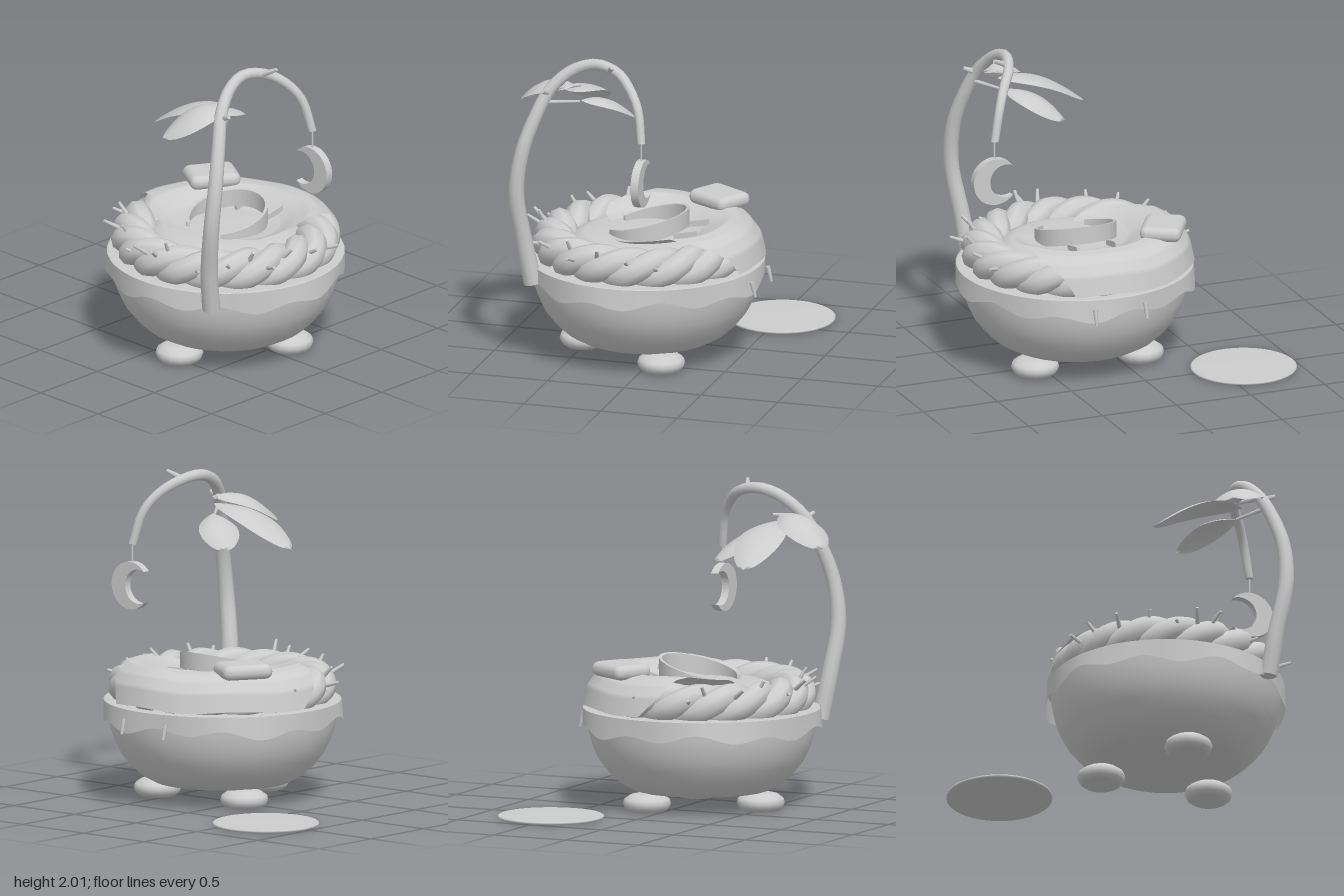
import * as THREE from 'three';
import { RoundedBoxGeometry } from 'three/addons/geometries/RoundedBoxGeometry.js';
import { ParametricGeometry } from 'three/addons/geometries/ParametricGeometry.js';

const V = (x, y, z) => new THREE.Vector3(x, y, z);
const CX = 0.227, CZ = 0.093; // centre of the bowl

export function createModel() {
  const model = new THREE.Group();
  const clay = new THREE.MeshStandardMaterial({ color: 0xcccccc, side: THREE.DoubleSide });
  clay.name = 'pale grey';

  const add = (name, geometry, x = 0, y = 0, z = 0) => {
    const mesh = new THREE.Mesh(geometry, clay);
    mesh.name = name;
    mesh.position.set(x, y, z);
    model.add(mesh);
    return mesh;
  };
  const lathe = (pts, n) => new THREE.LatheGeometry(pts.map(p => new THREE.Vector2(p[0], p[1])), n);
  // Thorn: a tapered twig from a point along a direction
  const thorn = (name, at, dir, length, radius) => {
    const d = dir.clone().normalize();
    const mesh = add(name, new THREE.CylinderGeometry(radius * 0.6, radius, length, 6));
    mesh.quaternion.setFromUnitVectors(V(0, 1, 0), d);
    mesh.position.copy(at).addScaledVector(d, length / 2);
  };

  // Bowl with a flat shelf inside its rim
  const bowlProfile = [[0, 0.11], [0.43, 0.112], [0.51, 0.155], [0.575, 0.215], [0.635, 0.29], [0.67, 0.36],
    [0.695, 0.43], [0.712, 0.51], [0.722, 0.6]];
  add('bowl', lathe(bowlProfile, 36), CX, 0, CZ);
  add('rim', lathe([[0.742, 0.622], [0.728, 0.63], [0, 0.63]], 36), CX, 0, CZ);

  // Collar with a wavy hem hanging from the rim
  add('wavyCollar', new ParametricGeometry((u, v, p) => {
    const a = u * Math.PI * 2;
    const hem = 0.508 + 0.022 * Math.sin(a * 10 + 0.6) + 0.012 * Math.sin(a * 4);
    const r = 0.742 + v * (0.004 + 0.008 * Math.sin(a * 5));
    p.set(r * Math.sin(a), 0.625 + (hem - 0.625) * v, r * Math.cos(a));
  }, 108, 4), CX, 0, CZ);

  // Three squashed feet with flat soles
  const footProfile = [[0, 0], [0.11, 0], [0.138, 0.02], [0.15, 0.05], [0.142, 0.078], [0.105, 0.104], [0.06, 0.114], [0, 0.116]];
  for (let i = 0; i < 3; i++) {
    const a = i * Math.PI * 2 / 3;
    add('foot', lathe(footProfile, 16), CX + 0.41 * Math.sin(a), 0, CZ + 0.41 * Math.cos(a));
  }

  // Twisted wreath of three strands
  class Strand extends THREE.Curve {
    constructor(phase) { super(); this.phase = phase; }
    getPoint(t, target = V(0, 0, 0)) {
      const a = t * Math.PI * 2, twist = 6 * a + this.phase;
      const r = 0.572 + 0.066 * Math.cos(twist);
      return target.set(r * Math.sin(a), 0.715 + 0.055 * Math.sin(twist), r * Math.cos(a));
    }
  }
  for (let k = 0; k < 3; k++) {
    add('wreathStrand', new THREE.TubeGeometry(new Strand(k * Math.PI * 2 / 3), 150, 0.08, 9, true), CX, 0, CZ);
  }

  // Twigs sticking out of the wreath: angle from the front, tilt upward, sideways lean, length (degrees)
  const twigs = [[-100, 20, 0, 0.08], [-71, 15, 5, 0.12], [-62, 45, -20, 0.1], [-46, 30, 15, 0.13], [-30, 55, 20, 0.09],
    [-12, 20, -30, 0.08], [-2, 35, -20, 0.14], [4, 35, 20, 0.14], [10, 60, 10, 0.12], [28, 15, 30, 0.09],
    [47, 30, -15, 0.13], [58, 55, 20, 0.09], [66, 20, 10, 0.13], [78, 45, 30, 0.1], [97, 30, -10, 0.09], [111, 15, 15, 0.1]];
  for (const [angle, tilt, lean, length] of twigs) {
    const [a, t, l] = [angle, tilt, angle + lean].map(THREE.MathUtils.degToRad);
    const along = b => V(Math.sin(b) * Math.cos(t), Math.sin(t), Math.cos(b) * Math.cos(t));
    const at = V(CX + 0.572 * Math.sin(a), 0.715, CZ + 0.572 * Math.cos(a)).addScaledVector(along(a), 0.09);
    thorn('wreathThorn', at, along(l), length, 0.016);
  }
  // Two twigs hanging over the back rim
  for (const x of [0.06, 0.4]) thorn('rimThorn', V(x, 0.57, -0.645), V(0, -1, -0.25), 0.1, 0.016);

  // Cushion in the middle
  add('cushion', lathe([[0.5, 0.7], [0.46, 0.755], [0.38, 0.785], [0.25, 0.79], [0, 0.79]], 32), CX, 0, CZ);

  // Blanket over the back of the wreath; rows are [radius, height, left angle, right angle] from the back
  const rows = [[0.745, 0.65, -84, 22], [0.722, 0.755, -93, 27], [0.67, 0.825, -97, 36], [0.6, 0.868, -101, 47],
    [0.52, 0.88, -107, 57], [0.44, 0.85, -138, 82], [0.36, 0.81, -152, 104], [0.27, 0.795, -160, 120]];
  const blanket = new ParametricGeometry((u, v, p) => {
    const s = v * (rows.length - 1), i = Math.min(Math.floor(s), rows.length - 2), f = s - i;
    const [r, y, left, right] = rows[i].map((n, k) => n + (rows[i + 1][k] - n) * f);
    const a = THREE.MathUtils.degToRad(left + (right - left) * u);
    p.set(r * Math.sin(a), y + 0.008 * Math.sin(a * 7 + 1) * (1 - v), -r * Math.cos(a));
  }, 48, 21);
  add('blanket', blanket, CX, 0, CZ);

  // Open, tilted band standing in the middle
  const band = new THREE.Shape();
  const gap = 0.62, start = -Math.PI / 2 + gap, end = Math.PI * 1.5 - gap;
  band.absarc(0, 0, 0.255, start, end, false);
  band.absarc(0, 0, 0.235, end, start, true);
  const bandGeo = new THREE.ExtrudeGeometry(band, { depth: 0.11, bevelEnabled: false, curveSegments: 30 });
  bandGeo.rotateX(-Math.PI / 2);
  const bp = bandGeo.attributes.position;
  for (let i = 0; i < bp.count; i++) bp.setY(i, bp.getY(i) - 0.27 * bp.getZ(i));
  bandGeo.computeVertexNormals();
  add('band', bandGeo, CX, 0.765, 0.08);
  // Low folds of cloth behind the band
  for (const s of [-1, 1]) {
    add('bandFold', new THREE.BoxGeometry(0.02, 0.05, 0.15), CX + s * 0.13, 0.815, -0.2).rotation.x = 0.2;
  }

  // Pillow resting on the blanket
  add('pillow', new RoundedBoxGeometry(0.26, 0.095, 0.325, 2, 0.045), -0.228, 0.893, -0.242)
    .rotation.y = THREE.MathUtils.degToRad(-31);

  // Tapered stalk arching over the bowl
  const path = new THREE.CatmullRomCurve3([V(0.69, 0.53, 0.69), V(0.72, 0.8, 0.738), V(0.775, 1.13, 0.772),
    V(0.775, 1.4, 0.735), V(0.73, 1.62, 0.665), V(0.67, 1.8, 0.58), V(0.62, 1.92, 0.45), V(0.605, 1.965, 0.31),
    V(0.65, 1.935, 0.15), V(0.73, 1.85, 0.04), V(0.785, 1.74, -0.025), V(0.832, 1.55, -0.06)]);
  const N = 44, S = 10;
  const stalk = new THREE.TubeGeometry(path, N, 1, S, false);
  const sp = stalk.attributes.position, q = V(0, 0, 0);
  for (let i = 0; i <= N; i++) {
    const c = path.getPointAt(i / N), r = 0.058 - 0.032 * i / N;
    for (let j = 0; j <= S; j++) {
      const k = i * (S + 1) + j;
      q.fromBufferAttribute(sp, k).sub(c).multiplyScalar(r).add(c);
      sp.setXYZ(k, q.x, q.y, q.z);
    }
  }
  add('stalk', stalk);
  add('stalkFoot', new THREE.SphereGeometry(0.056, 10, 6), 0.69, 0.533, 0.69).scale.y = 0.2;
  add('stalkTip', new THREE.SphereGeometry(0.026, 10, 6), 0.832, 1.552, -0.06).scale.y = 0.3;
  thorn('stalkThorn', V(0.65, 1.95, 0.2), V(0.8, 0.4, -0.35), 0.11, 0.02);
  thorn('stalkThorn', V(0.69, 1.78, 0.59), V(0.9, 0.35, 0.2), 0.08, 0.022);
  thorn('leafStem', V(0.66, 1.8, 0.56), V(-0.1, 0.01, -0.15), 0.17, 0.017);
  thorn('leafStem', V(0.7, 1.72, 0.6), V(-0.14, -0.02, -0.2), 0.22, 0.014);

  // Three broad arched leaves with rounded tips
  const leaf = (base, tip, lift, half, droop) => add('leaf', new ParametricGeometry((u, v, p) => {
    const side = tip.clone().sub(base).cross(V(0, 1, 0)).normalize();
    const w = half * Math.pow(Math.sin(Math.PI * Math.pow(u, 1.1)), 0.65), t = v * 2 - 1;
    p.lerpVectors(base, tip, u).addScaledVector(side, w * t);
    p.y += lift * Math.sin(Math.PI * u) - droop * w * t * t;
  }, 16, 6));
  leaf(V(0.6, 1.77, 0.45), V(0, 1.535, 0.49), 0.08, 0.15, 0.25);
  leaf(V(0.58, 1.71, 0.41), V(0.265, 1.54, 0.16), 0.06, 0.125, 0.4);
  leaf(V(0.62, 1.81, 0.45), V(0.41, 1.64, 0.84), 0.08, 0.15, 0.45);

  // Crescent hanging on a string
  add('string', new THREE.CylinderGeometry(0.006, 0.006, 0.13, 6), 0.835, 1.495, -0.06);
  const moon = new THREE.Shape();
  const R = 0.15, r = 0.108, d = 0.068;
  const a = (d * d + R * R - r * r) / (2 * d), h = Math.sqrt(R * R - a * a);
  const outer = Math.atan2(h, -a), inner = Math.atan2(h, d - a);
  moon.absarc(0, 0, R, -outer, outer, false);
  moon.absarc(-d, 0, r, inner, -inner, true);
  add('crescent', new THREE.ExtrudeGeometry(moon, { depth: 0.05, bevelEnabled: false, curveSegments: 24 }),
    0.833, 1.29, -0.085);

  // Round mat on the ground with a softened edge
  add('mat', lathe([[0, 0], [0.325, 0], [0.332, 0.006], [0.332, 0.014], [0.322, 0.02], [0, 0.02]], 32), -0.655, 0, -0.52);

  return model;
}
